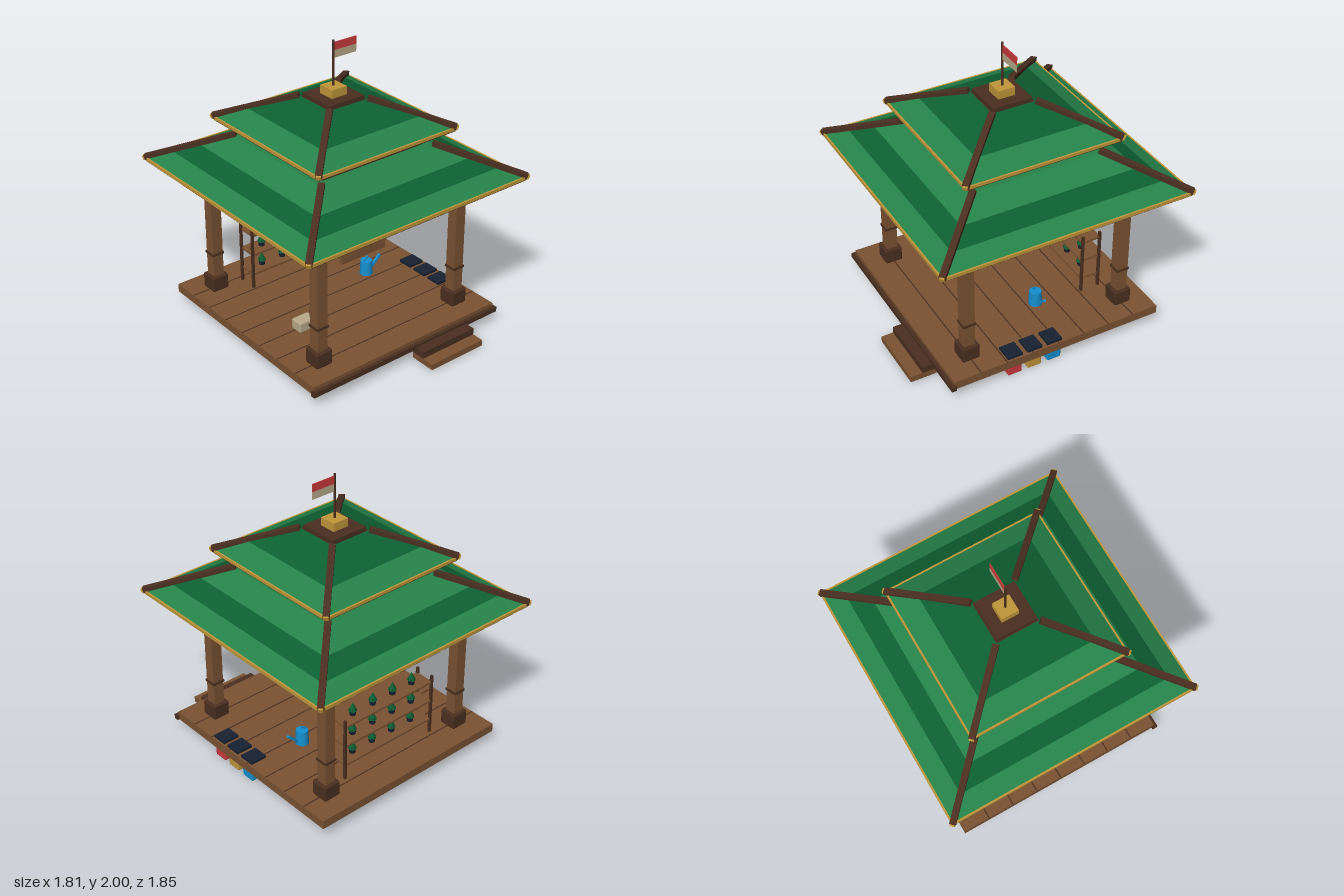
import * as THREE from 'three';
import { RoundedBoxGeometry } from 'three/addons/geometries/RoundedBoxGeometry.js';

const paint = (name, color) => {
  const m = new THREE.MeshStandardMaterial({ color });
  m.name = name;
  return m;
};

export function createModel() {
  const wood = paint('brown wood', 0x7a5232);
  const dark = paint('dark wood', 0x4a2f20);
  const stone = paint('grey stone', 0x6c6c6a);
  const gold = paint('gold', 0xc0963a);
  const green = paint('light green', 0x26824a);
  const deep = paint('deep green', 0x0d6032);
  const cream = paint('cream', 0xb9aa88);
  const red = paint('red', 0xcb3a3c);
  const blue = paint('blue', 0x158fcf);
  const navy = paint('navy', 0x172131);

  const model = new THREE.Group();
  model.name = 'gardenPavilion';
  const Z = -0.02; // centre of the building

  const add = (name, geo, mat, x = 0, y = 0, z = 0) => {
    const m = new THREE.Mesh(geo, mat);
    m.name = name;
    m.position.set(x, y, z);
    model.add(m);
    return m;
  };
  // box given by its x, y and z ranges
  const box = (name, mat, x0, x1, y0, y1, z0, z1) =>
    add(name, new THREE.BoxGeometry(x1 - x0, y1 - y0, z1 - z0), mat,
      (x0 + x1) / 2, (y0 + y1) / 2, (z0 + z1) / 2);
  // square block centred at x, z
  const block = (name, mat, x, z, w, y0, y1) =>
    box(name, mat, x - w / 2, x + w / 2, y0, y1, z - w / 2, z + w / 2);
  const rounded = (name, mat, x, y, z, w, h, d, r) =>
    add(name, new RoundedBoxGeometry(w, h, d, 1, r), mat, x, y, z);
  // beam from point a to point b
  const bar = (name, mat, a, b, w, h) => {
    const p = new THREE.Vector3(...a), q = new THREE.Vector3(...b);
    const m = new THREE.Mesh(new THREE.BoxGeometry(w, h, p.distanceTo(q)), mat);
    m.name = name;
    m.position.copy(p).add(q).multiplyScalar(0.5);
    m.lookAt(q);
    model.add(m);
    return m;
  };
  // four sloping faces of a square roof, by half widths and heights
  const roofBand = (name, mat, w0, y0, w1, y1) => {
    const g = new THREE.CylinderGeometry(w1 * Math.SQRT2, w0 * Math.SQRT2, y1 - y0, 4, 1, true)
      .rotateY(Math.PI / 4).toNonIndexed();
    g.computeVertexNormals();
    add(name, g, mat, 0, (y0 + y1) / 2, Z);
  };
  // four strips around a square
  const frame = (name, mat, w, t, y0, y1) => {
    for (const s of [-1, 1]) {
      const c = s * (w - t / 2);
      box(name, mat, -w, w, y0, y1, Z + c - t / 2, Z + c + t / 2);
      box(name, mat, c - t / 2, c + t / 2, y0, y1, Z - w + t, Z + w - t);
    }
  };

  // footings
  for (const x of [-0.625, 0, 0.625])
    for (const z of [-0.625, 0, 0.625])
      rounded('footing', stone, x, 0.043, Z + z, 0.11, 0.086, 0.11, 0.008);

  // deck with plank gaps, front trim and steps
  box('deck', wood, -0.765, 0.765, 0.085, 0.145, -0.785, 0.745);
  for (let i = 1; i < 8; i++) {
    const z = -0.785 + i * 1.53 / 8;
    box('plankGap', dark, -0.764, 0.764, 0.144, 0.1465, z - 0.004, z + 0.004);
  }
  box('frontTrim', dark, -0.78, 0.78, 0.085, 0.12, 0.735, 0.77);
  box('lowerStep', wood, 0.055, 0.5, 0.01, 0.052, 0.74, 0.925);
  box('upperStep', dark, 0.055, 0.5, 0.052, 0.1, 0.74, 0.84);

  // pillars with braces
  for (const sx of [-1, 1])
    for (const sz of [-1, 1]) {
      const x = sx * 0.575, z = Z + sz * 0.575;
      rounded('pillarBase', dark, x, 0.2, z, 0.125, 0.11, 0.125, 0.012);
      block('pillar', wood, x, z, 0.078, 0.25, 1.0);
      block('pillarBand', dark, x, z, 0.09, 0.415, 0.432);
      block('pillarNeck', dark, x, z, 0.105, 1.0, 1.035);
      block('pillarCap', dark, x, z, 0.13, 1.03, 1.086);
      bar('brace', wood, [x - sx * 0.03, 0.89, z], [x - sx * 0.18, 1.04, z], 0.03, 0.03);
      bar('brace', wood, [x, 0.89, z - sz * 0.03], [x, 1.04, z - sz * 0.18], 0.03, 0.03);
    }
  frame('ringBeam', dark, 0.605, 0.06, 1.037, 1.084);

  // lower roof
  block('lowerSoffit', dark, 0, Z, 1.76, 1.09, 1.118);
  frame('lowerEaveTrim', gold, 0.889, 0.012, 1.1, 1.122);
  roofBand('lowerTiles', green, 0.882, 1.118, 0.755, 1.176);
  roofBand('lowerTiles', deep, 0.755, 1.176, 0.625, 1.235);
  roofBand('lowerTiles', green, 0.625, 1.235, 0.46, 1.31);
  block('lowerRoofTop', green, 0, Z, 0.92, 1.3, 1.31);

  // wall between the roofs
  block('roofNeck', dark, 0, Z, 0.8, 1.3, 1.396);
  frame('neckTrim', gold, 0.403, 0.012, 1.396, 1.404);
  block('neckCore', dark, 0, Z, 0.76, 1.39, 1.42);

  // upper roof
  block('upperSoffit', dark, 0, Z, 1.1, 1.414, 1.44);
  frame('upperEaveTrim', gold, 0.558, 0.012, 1.424, 1.444);
  roofBand('upperTiles', green, 0.553, 1.44, 0.4, 1.515);
  roofBand('upperTiles', deep, 0.4, 1.515, 0.15, 1.612);

  // hip ridges with gold tips
  for (const sx of [-1, 1])
    for (const sz of [-1, 1]) {
      for (const [w0, y0, w1, y1] of [[0.885, 1.122, 0.45, 1.322], [0.555, 1.446, 0.155, 1.618]]) {
        bar('hipRidge', dark, [sx * w0, y0, Z + sz * w0], [sx * w1, y1, Z + sz * w1], 0.042, 0.034);
        const t = bar('ridgeTip', gold, [sx * (w0 + 0.008), y0 - 0.004, Z + sz * (w0 + 0.008)],
          [sx * (w0 - 0.004), y0 + 0.002, Z + sz * (w0 - 0.004)], 0.032, 0.026);
        t.name = 'ridgeTip';
      }
    }

  // crown, pole and flag
  block('crown', dark, 0, Z, 0.28, 1.605, 1.637);
  block('finial', gold, 0, Z, 0.12, 1.637, 1.695);
  add('flagPole', new THREE.CylinderGeometry(0.008, 0.008, 0.31, 8), dark, 0, 1.845, Z);
  box('flagTop', red, 0.008, 0.182, 1.932, 1.985, Z - 0.003, Z + 0.003);
  box('flagBottom', cream, 0.008, 0.182, 1.88, 1.932, Z - 0.003, Z + 0.003);

  // hanging board
  for (let i = 0; i < 3; i++) {
    const y = 0.805 + i * 0.045;
    box('hangingBoard', wood, -0.4, -0.055, y, y + 0.043, 0.54, 0.57);
  }
  box('boardBack', dark, -0.395, -0.06, 0.81, 0.935, 0.545, 0.565);
  for (const x of [-0.367, -0.087])
    add('boardCord', new THREE.CylinderGeometry(0.004, 0.004, 0.11, 6), dark, x, 0.99, 0.555);

  // plant shelf
  for (const x of [-0.382, 0.382])
    for (const z of [-0.424, -0.556])
      block('shelfPost', dark, x, z, 0.017, 0.145, 0.6);
  for (const y of [0.25, 0.4, 0.55]) {
    box('shelfBoard', wood, -0.382, 0.382, y - 0.007, y + 0.007, -0.562, -0.418);
    for (const x of [-0.26, -0.087, 0.087, 0.26]) {
      add('pot', new THREE.CylinderGeometry(0.025, 0.02, 0.045, 8), navy, x, y + 0.029, -0.49);
      add('seedling', new THREE.ConeGeometry(0.03, 0.06, 7), deep, x, y + 0.071, -0.49);
    }
  }

  // cream chest with a stake
  rounded('chest', cream, -0.417, 0.19, 0.192, 0.135, 0.076, 0.095, 0.012);
  block('chestStake', dark, -0.37, 0.208, 0.015, 0.22, 0.285);

  // watering can
  add('wateringCan', new THREE.CylinderGeometry(0.042, 0.047, 0.105, 12), blue, 0.345, 0.199, -0.085);
  bar('canSpout', blue, [0.38, 0.17, -0.085], [0.467, 0.255, -0.085], 0.017, 0.017);
  bar('canHandle', blue, [0.305, 0.243, -0.085], [0.355, 0.278, -0.085], 0.012, 0.012);

  // seed trays on the deck and coloured crates beneath
  [[0.295, red], [0.15, gold], [0.002, blue]].forEach(([z, mat]) => {
    box('seedTray', navy, 0.63, 0.75, 0.145, 0.163, z - 0.055, z + 0.055);
    rounded('crate', mat, 0.695, 0.044, z, 0.1, 0.084, 0.1, 0.006);
  });

  return model;
}
